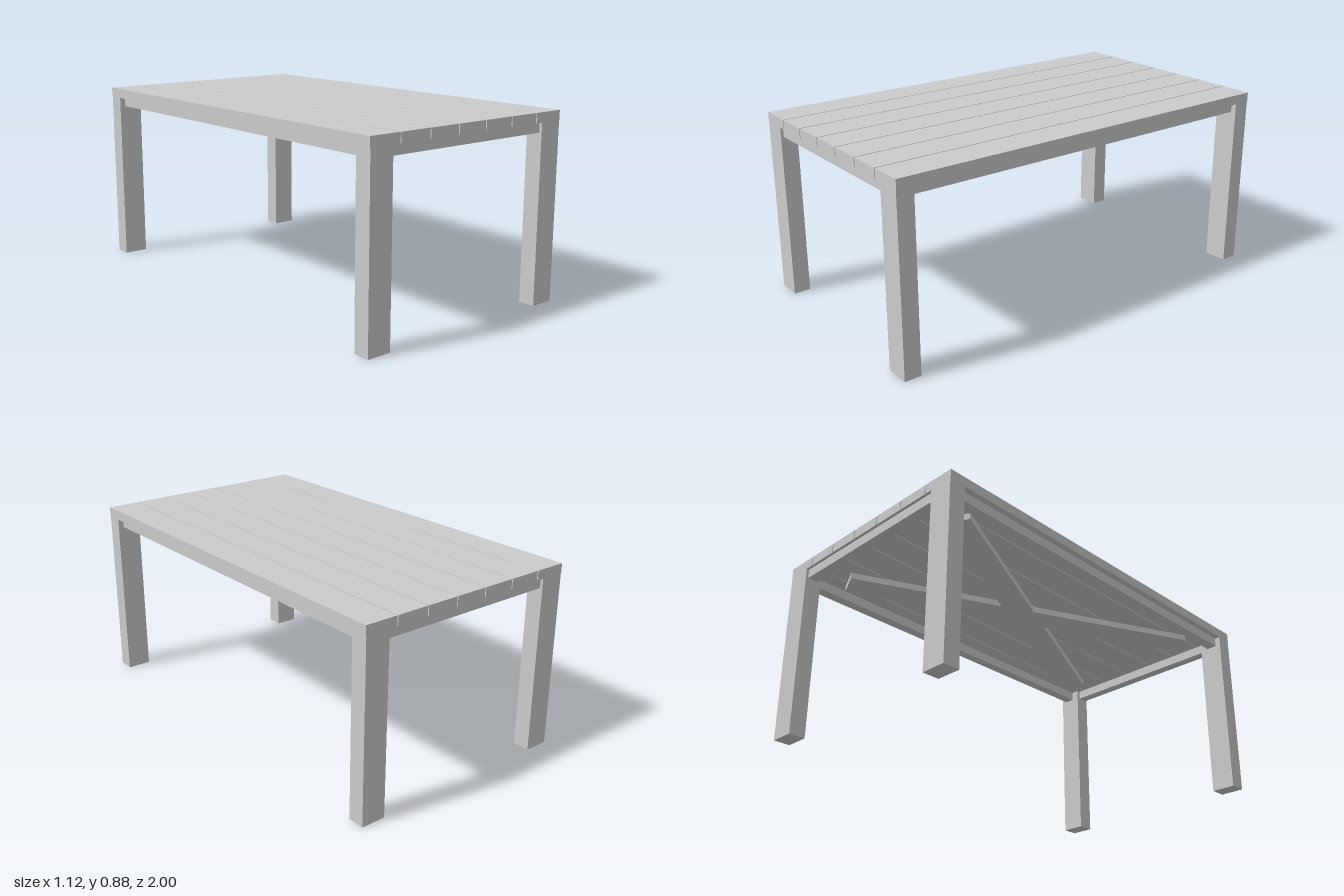
import * as THREE from 'three';

const material = new THREE.MeshStandardMaterial({ color: 0xcccccc, flatShading: true });

export function createModel() {
  const table = new THREE.Group();
  table.name = 'table';

  const add = (name, geometry, x, y, z) => {
    const mesh = new THREE.Mesh(geometry, material);
    mesh.name = name;
    mesh.position.set(x, y, z);
    table.add(mesh);
  };
  const box = (name, w, h, d, x, y, z) => add(name, new THREE.BoxGeometry(w, h, d), x, y, z);

  const topY = 0.876, underY = 0.83, railBottom = 0.785;

  // Seven lengthwise planks with narrow gaps
  for (let i = -3; i <= 3; i++) {
    box('topPlank', 0.1555, topY - underY, 2, i * 0.1603, (topY + underY) / 2, 0);
  }

  // Four corner legs
  for (const sx of [-1, 1]) for (const sz of [-1, 1]) {
    box('leg', 0.117, underY, 0.08, sx * 0.4985, underY / 2, sz * 0.96);
  }

  // Rails between the legs
  const railH = underY - railBottom, railY = (underY + railBottom) / 2;
  for (const s of [-1, 1]) {
    box('sideRail', 0.05, railH, 1.84, s * 0.505, railY, 0);
    box('endRail', 0.88, railH, 0.05, 0, railY, s * 0.962);
  }

  // Crossed brace under the planks, a single X-shaped board
  const angle = 0.44, half = 0.065, reach = 0.89;
  const sin = Math.sin(angle), cos = Math.cos(angle);
  const ax = reach * sin, az = reach * cos;
  const ex = half * cos, ez = half * sin;
  const brace = new THREE.Shape([
    [half / cos, 0], [ax + ex, az - ez], [ax - ex, az + ez],
    [0, half / sin], [-ax + ex, az + ez], [-ax - ex, az - ez],
    [-half / cos, 0], [-ax - ex, -az + ez], [-ax + ex, -az - ez],
    [0, -half / sin], [ax - ex, -az - ez], [ax + ex, -az + ez],
  ].map(([x, z]) => new THREE.Vector2(x, z)));
  const braceGeometry = new THREE.ExtrudeGeometry(brace, { depth: 0.03, bevelEnabled: false });
  braceGeometry.rotateX(-Math.PI / 2);
  add('crossBrace', braceGeometry, 0, underY - 0.03, 0);

  return table;
}
